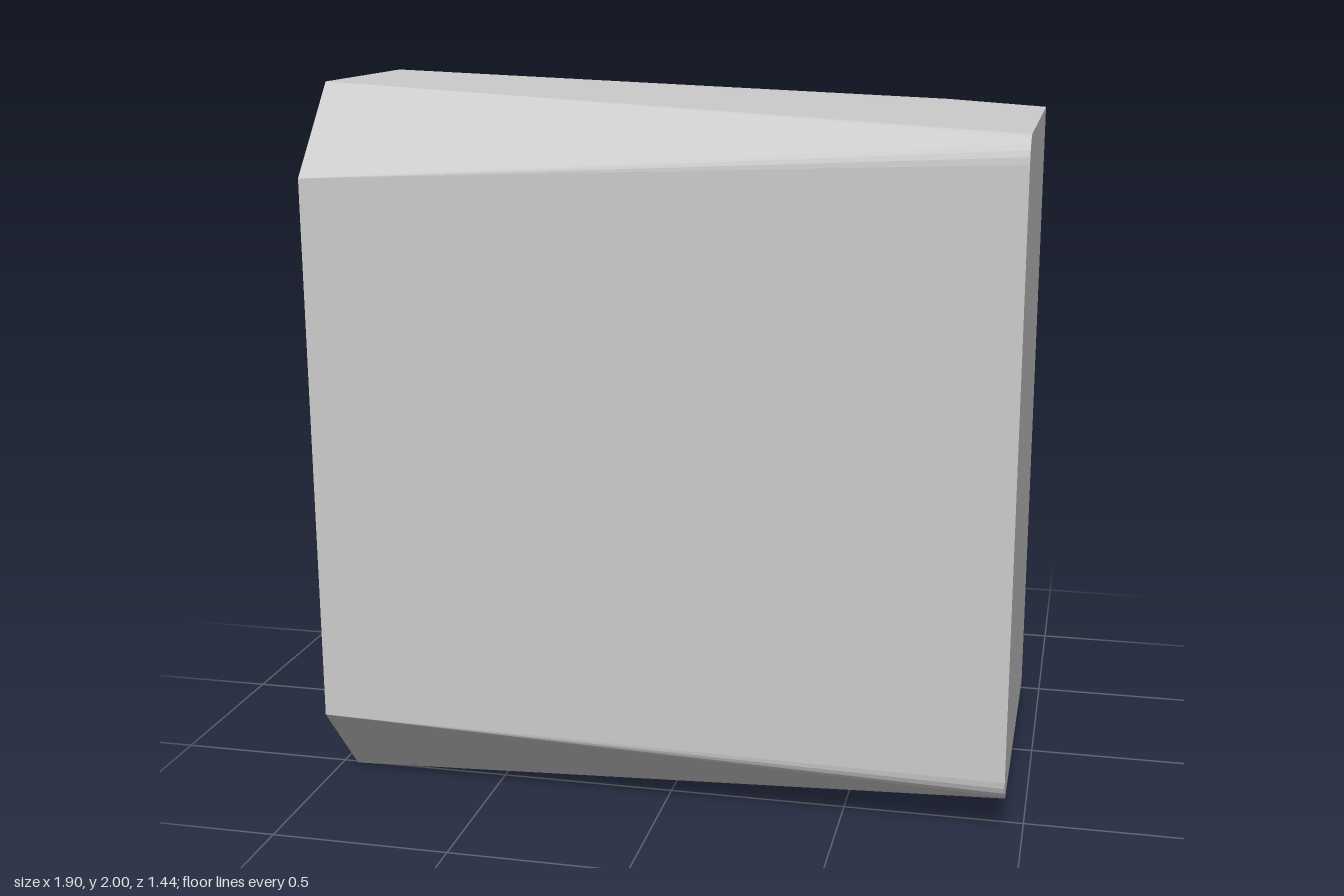
import * as THREE from 'three';
import { ConvexGeometry } from 'three/addons/geometries/ConvexGeometry.js';

// Faceted solid: the hull of corners mirrored above and below mid-height.
export function createModel() {
  const corners = [
    // octagonal end
    [-0.955, 2, 0.51], [-0.955, 2, -0.04], [-0.955, 1.76, 0.72], [-0.955, 1.76, -0.26],
    // rear corners of the small end
    [0.95, 1.9, -0.31],
    // back ridge bevels
    [0.36, 1.9, -0.56], [0.64, 1.9, -0.56],
    // blunt back edge
    [0.86, 1.49, -0.722], [0.895, 1.49, -0.722],
  ];

  // rounded front corner of the small end
  const r = 0.07, steps = 6;
  for (let i = 0; i <= steps; i++) {
    const a = (i / steps) * Math.PI / 2;
    corners.push([0.95, 1.9 - r + r * Math.sin(a), 0.62 - r + r * Math.cos(a)]);
  }

  const points = [];
  for (const [x, y, z] of corners) {
    points.push(new THREE.Vector3(x, y, z), new THREE.Vector3(x, 2 - y, z));
  }

  const body = new THREE.Mesh(
    new ConvexGeometry(points),
    new THREE.MeshStandardMaterial({ color: 0xcccccc, flatShading: true })
  );
  body.name = 'facetedBlock';

  const group = new THREE.Group();
  group.name = 'block';
  group.add(body);
  return group;
}
